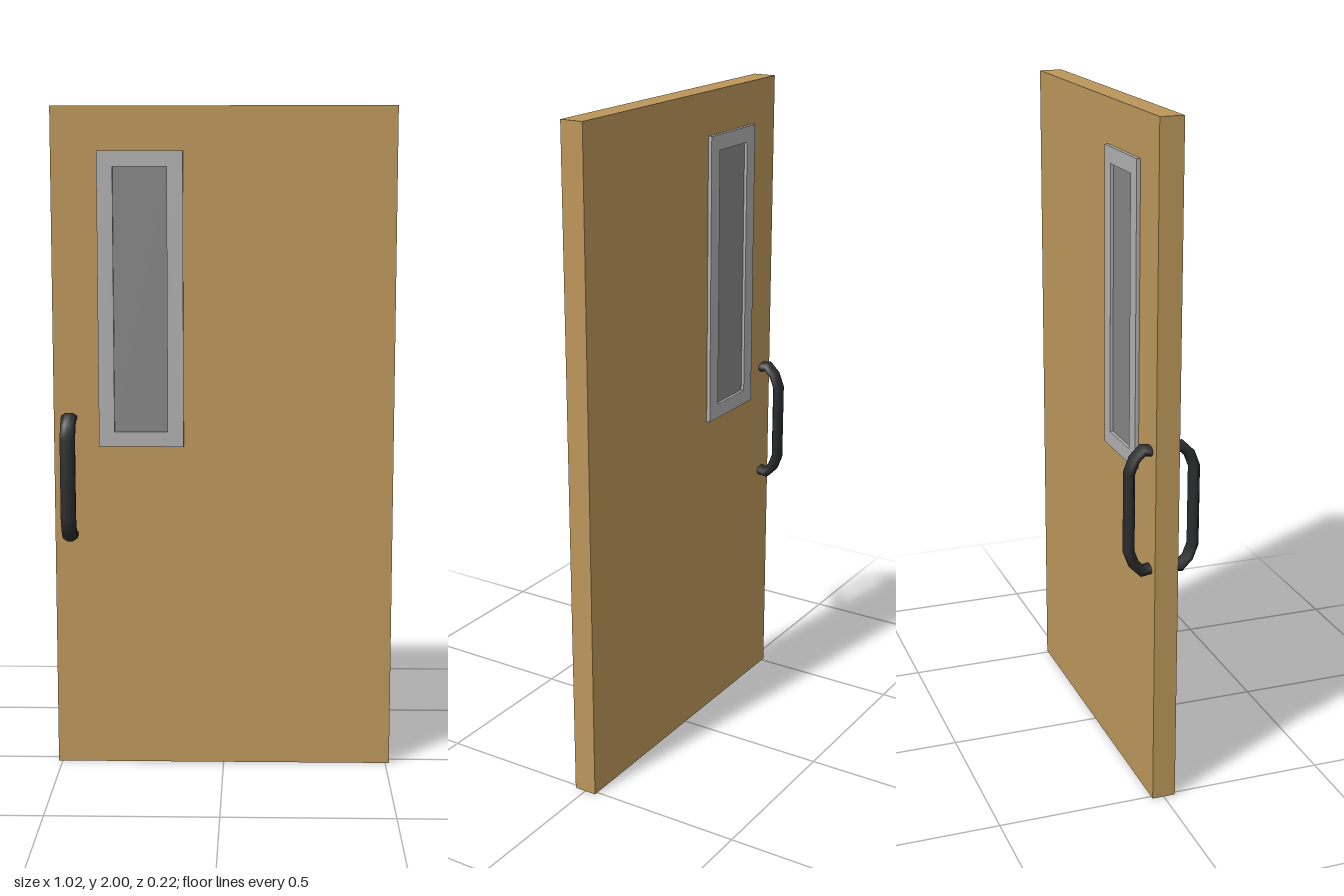
import * as THREE from 'three';

const material = (color) => new THREE.MeshStandardMaterial({ color });

function box(name, x0, x1, y0, y1, halfDepth, mat) {
  const mesh = new THREE.Mesh(new THREE.BoxGeometry(x1 - x0, y1 - y0, halfDepth * 2), mat);
  mesh.position.set((x0 + x1) / 2, (y0 + y1) / 2, 0);
  mesh.name = name;
  return mesh;
}

function rectPoints(x0, x1, y0, y1) {
  return [[x0, y0], [x1, y0], [x1, y1], [x0, y1]].map(([x, y]) => new THREE.Vector2(x, y));
}

// Pull handle: an eight-sided section swept along a bent path in the y-z plane
function handleGeometry() {
  const half = [[0.097, 0.118], [0.082, 0.157], [0.058, 0.181], [0.03, 0.177]]; // [z, y]
  const path = [...half.map(([z, y]) => [z, -y]).reverse(), ...half];
  const sides = 8, halfWidth = 0.0225, halfThick = 0.0145;
  const positions = [], index = [];
  const direction = (a, b) => new THREE.Vector2(b[0] - a[0], b[1] - a[1]).normalize();
  path.forEach((p, i) => {
    const before = direction(path[Math.max(i - 1, 0)], path[Math.max(i, 1)]);
    const after = direction(path[Math.min(i, path.length - 2)], path[Math.min(i + 1, path.length - 1)]);
    const t = before.clone().add(after).normalize();
    const miter = 1 / t.dot(after);
    for (let j = 0; j < sides; j++) {
      const a = ((j + 0.5) / sides) * Math.PI * 2;
      const s = 1 / Math.cos(Math.PI / sides);
      const n = Math.sin(a) * halfThick * s * miter;
      positions.push(Math.cos(a) * halfWidth * s, p[1] - t.x * n, p[0] + t.y * n);
      if (i < path.length - 1) {
        const q = i * sides + j, r = i * sides + ((j + 1) % sides);
        index.push(q, q + sides, r, r, q + sides, r + sides);
      }
    }
  });
  const geometry = new THREE.BufferGeometry();
  geometry.setAttribute('position', new THREE.Float32BufferAttribute(positions, 3));
  geometry.setIndex(index);
  geometry.computeVertexNormals();
  return geometry;
}

export function createModel() {
  const group = new THREE.Group();
  group.name = 'door';

  // Door leaf
  group.add(box('doorPanel', -0.512, 0.512, 0, 2, 0.035, material(0xbc965b)));

  // Window frame standing proud on both faces, with the pane set inside it
  const frameDepth = 0.092;
  const outline = new THREE.Shape(rectPoints(-0.375, -0.12, 0.99, 1.87));
  outline.holes.push(new THREE.Path(rectPoints(-0.328, -0.168, 1.035, 1.823)));
  const frame = new THREE.Mesh(
    new THREE.ExtrudeGeometry(outline, { depth: frameDepth, bevelEnabled: false }),
    material(0xb0b0b0)
  );
  frame.position.z = -frameDepth / 2;
  frame.name = 'windowFrame';
  group.add(frame);
  group.add(box('windowPane', -0.33, -0.166, 1.033, 1.825, 0.037, material(0x868686)));

  // Matching handles on the front and back
  const geometry = handleGeometry();
  const black = material(0x2a2b2c);
  ['frontHandle', 'backHandle'].forEach((name, i) => {
    const handle = new THREE.Mesh(geometry, black);
    handle.position.set(-0.465, 0.898, 0);
    handle.rotation.x = i * Math.PI;
    handle.name = name;
    group.add(handle);
  });

  return group;
}
